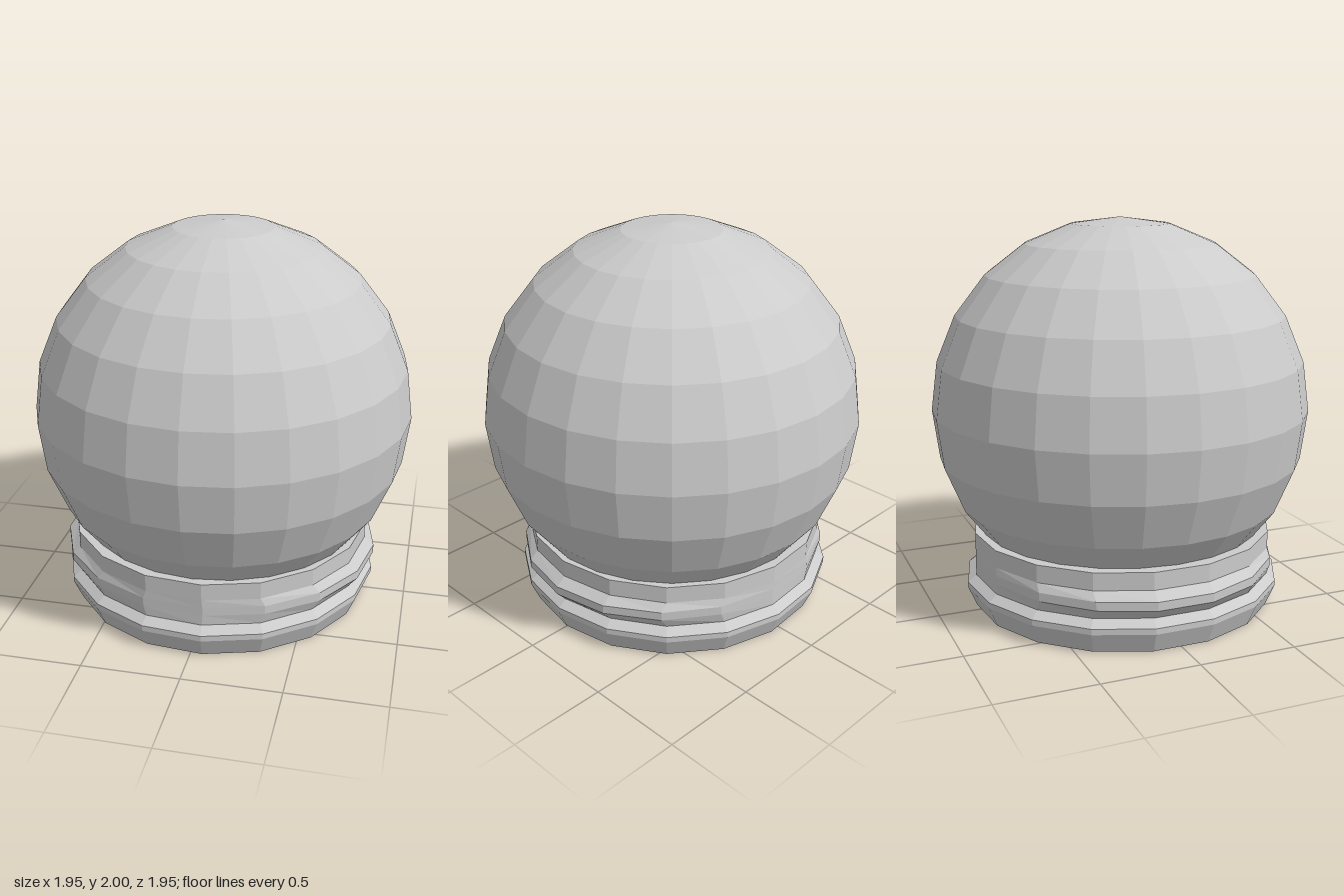
import * as THREE from 'three';

export function createModel() {
  const model = new THREE.Group();
  const material = new THREE.MeshStandardMaterial({ color: 0xcccccc, flatShading: true });

  // Faceted ball seated in the base
  const globe = new THREE.Mesh(new THREE.SphereGeometry(0.975, 24, 12), material);
  globe.name = 'globe';
  globe.position.y = 1.025;
  model.add(globe);

  // Seventeen-sided base: [radius, height] from the underside to the rim
  const r = 0.787, ridge = 0.832;
  const profile = [
    [0, 0], [r, 0], [ridge, 0.105], [ridge, 0.135], [r, 0.17],
    [r, 0.225], [r, 0.27], [r, 0.31], [r, 0.4], [0, 0.4],
  ].map(([x, y]) => new THREE.Vector2(x, y));
  const baseGeometry = new THREE.LatheGeometry(profile, 17, Math.PI / 2);

  // The upper ridge swells sideways only and fades out at the front and back
  const pos = baseGeometry.attributes.position;
  for (let i = 0; i < pos.count; i++) {
    const y = pos.getY(i);
    if (y > 0.2 && y < 0.3) pos.setX(i, pos.getX(i) * 1.065);
  }
  baseGeometry.computeVertexNormals();

  const base = new THREE.Mesh(baseGeometry, material);
  base.name = 'base';
  base.position.x = -0.015;
  model.add(base);

  return model;
}
